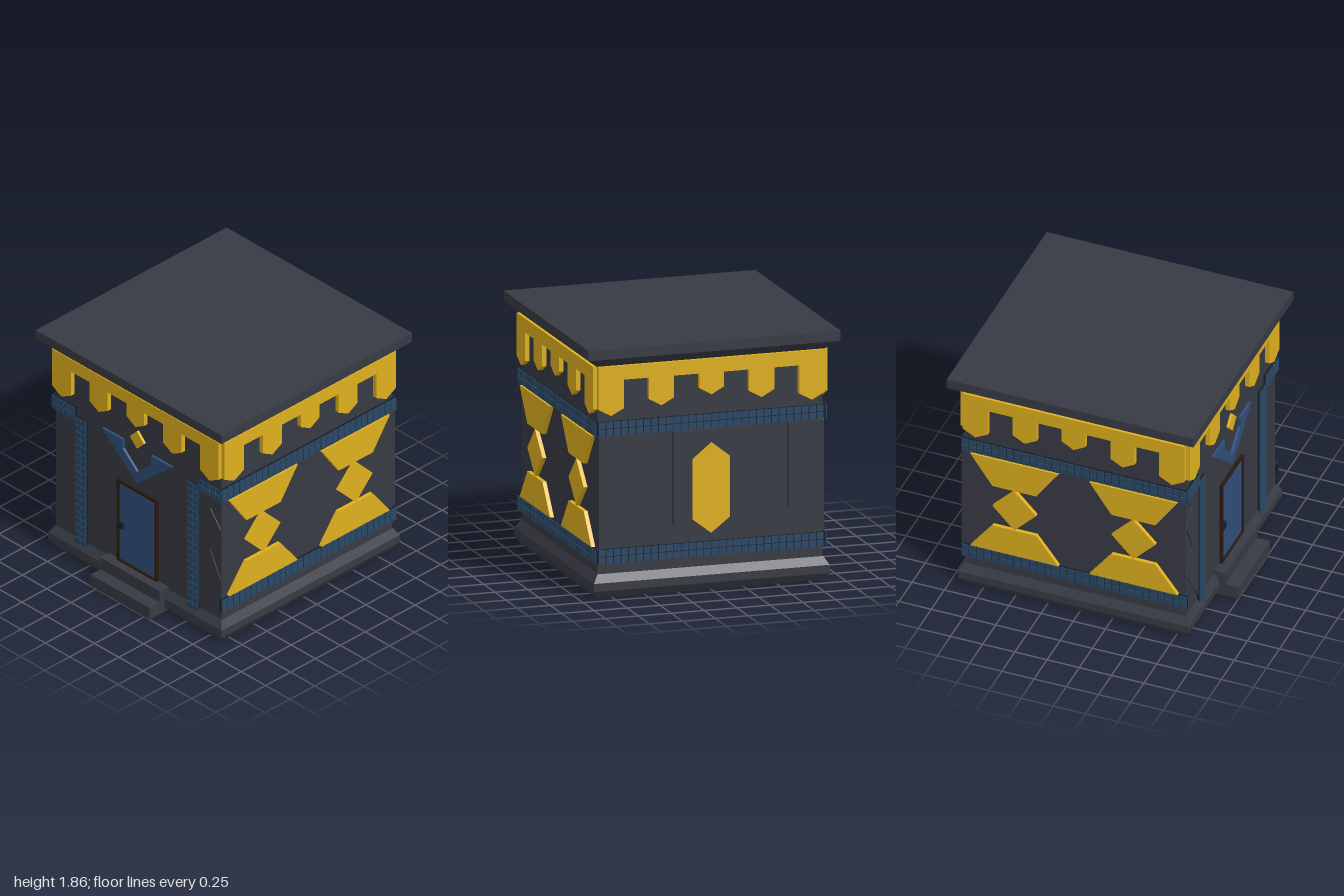
import * as THREE from 'three';
import { mergeGeometries } from 'three/addons/utils/BufferGeometryUtils.js';

const mat = (color) => new THREE.MeshStandardMaterial({ color, flatShading: true });
const stone = mat(0x383a44), gold = mat(0xdeb01e), tileBlue = mat(0x2a4764),
  grout = mat(0x14202c), doorBlue = mat(0x2f4d78), wood = mat(0x2a1a10);
const HALF = 0.855; // half width of the square body

function add(parent, name, geometry, material, x = 0, y = 0, z = 0) {
  const mesh = new THREE.Mesh(geometry, material);
  mesh.name = name;
  mesh.position.set(x, y, z);
  parent.add(mesh);
  return mesh;
}

const box = (w, h, d) => new THREE.BoxGeometry(w, h, d);
const shapeOf = (pts) => new THREE.Shape(pts.map(([x, y]) => new THREE.Vector2(x, y)));
const mirrorX = (pts) => pts.map(([x, y]) => [-x, y]);

// Flat plate standing out from a wall (local +z points outwards)
function plate(parent, name, pts, depth, material, hole) {
  const shape = shapeOf(pts);
  if (hole) shape.holes.push(new THREE.Path(hole.map(([x, y]) => new THREE.Vector2(x, y))));
  const geo = new THREE.ExtrudeGeometry(shape, { depth: depth + 0.005, bevelEnabled: false });
  return add(parent, name, geo, material, 0, 0, HALF - 0.005);
}

// Square stacked profile: [half width, height] from bottom to top
function squareLathe(profile) {
  const pts = profile.map(([r, y]) => new THREE.Vector2(r * Math.SQRT2, y));
  return new THREE.LatheGeometry(pts, 4, Math.PI / 4);
}

// Strip of small square tiles on a dark backing
function tileStrip(parent, name, x0, x1, y0, y1, cols, rows) {
  const strip = new THREE.Group();
  strip.name = name;
  parent.add(strip);
  const w = x1 - x0, h = y1 - y0, pw = w / cols, ph = h / rows, tiles = [];
  for (let i = 0; i < cols; i++) {
    for (let j = 0; j < rows; j++) {
      tiles.push(box(pw - 0.007, ph - 0.007, 0.026)
        .translate(x0 + (i + 0.5) * pw, y0 + (j + 0.5) * ph, HALF + 0.012));
    }
  }
  add(strip, 'tiles', mergeGeometries(tiles), tileBlue);
  add(strip, 'grout', box(w - 0.004, h - 0.004, 0.018), grout, x0 + w / 2, y0 + h / 2, HALF + 0.008);
}

// Hanging gold trim with five pointed teeth, longest at the corners
function trimOutline() {
  const pts = [[-0.86, 1.715]];
  const teeth = [[-0.86, -0.665, 1.4], [-0.475, -0.285, 1.45], [-0.092, 0.092, 1.5],
    [0.285, 0.475, 1.45], [0.665, 0.86, 1.4]];
  for (const [a, b, y] of teeth) {
    if (a > -0.86) pts.push([a, 1.61]);
    pts.push([a, y], [(a + b) / 2, y - 0.052], [b, y]);
    if (b < 0.86) pts.push([b, 1.61]);
  }
  pts.push([0.86, 1.715]);
  return pts;
}

function buildFront(wall) {
  for (const s of [-1, 1]) {
    const side = s < 0 ? 'right' : 'left';
    tileStrip(wall, side + 'TileColumn', s * 0.5775 - 0.0575, s * 0.5775 + 0.0575, 0.145, 1.23, 2, 19);
    tileStrip(wall, side + 'TileStub', s * 0.755 - 0.12, s * 0.755 + 0.12, 1.195, 1.305, 4, 2);
    // Thin panel with a zigzag outer edge
    const zigzag = [[0.6, 0.215], [0.635, 0.215], [0.85, 0.518], [0.744, 0.728], [0.85, 0.95],
      [0.744, 1.087], [0.85, 1.19], [0.6, 1.19]];
    plate(wall, side + 'ZigzagPanel', s > 0 ? zigzag : mirrorX(zigzag), 0.01, stone);
  }
  plate(wall, 'chevron', [[-0.36, 1.262], [0, 0.952], [0.36, 1.262], [0.145, 1.262], [0.145, 1.185],
    [0, 1.052], [-0.145, 1.185], [-0.145, 1.262]], 0.02, doorBlue);
  plate(wall, 'frontDiamond', [[0, 1.253], [0.074, 1.328], [0, 1.403], [-0.074, 1.328]], 0.02, gold);

  // Door with frame, hinge side bevel and latch
  const rect = (w, y0, y1) => [[-w, y0], [w, y0], [w, y1], [-w, y1]];
  plate(wall, 'doorFrame', rect(0.207, 0.2, 0.896), 0.022, wood, rect(0.187, 0.215, 0.875));
  plate(wall, 'door', rect(0.188, 0.213, 0.877), 0.008, doorBlue);
  plate(wall, 'doorBevel', [[0.12, 0.285], [0.186, 0.216], [0.186, 0.874], [0.12, 0.805]], 0.014, doorBlue);
  add(wall, 'doorLatch', box(0.055, 0.05, 0.03), grout, -0.165, 0.515, HALF + 0.014);
}

function buildBack(wall) {
  for (const s of [-1, 1]) {
    const corner = [[0.855, 0.37], [0.855, 1.19], [0.585, 1.19], [0.585, 0.56]];
    plate(wall, 'cornerPanel', s > 0 ? corner : mirrorX(corner), 0.03, stone);
  }
  const hexagon = [[0, 0.42], [0.143, 0.53], [0.143, 0.98], [0, 1.095], [-0.143, 0.98], [-0.143, 0.53]];
  plate(wall, 'windowFrame', [[-0.15, 0.37], [0.15, 0.37], [0.29, 0.5], [0.29, 1.19], [-0.29, 1.19],
    [-0.29, 0.5]], 0.03, stone, hexagon);
  plate(wall, 'window', hexagon, 0.024, gold);
}

function buildSide(wall) {
  for (const c of [-0.462, 0.462]) {
    const at = (pts) => pts.map(([x, y]) => [x + c, y]);
    plate(wall, 'upperTrapezoid', at([[-0.17, 0.945], [0.17, 0.945], [0.342, 1.19], [-0.342, 1.19]]), 0.03, gold);
    plate(wall, 'lowerTrapezoid', at([[-0.342, 0.367], [0.342, 0.367], [0.17, 0.592], [-0.17, 0.592]]), 0.03, gold);
    plate(wall, 'sideDiamond', at([[0, 0.594], [0.17, 0.769], [0, 0.944], [-0.17, 0.769]]), 0.03, gold);
  }
}

export function createModel() {
  const model = new THREE.Group();
  model.name = 'building';
  const house = new THREE.Group();
  house.name = 'house';
  house.position.z = -0.042;
  model.add(house);

  add(house, 'walls', box(HALF * 2, 1.6, HALF * 2), stone, 0, 0.92, 0);
  add(house, 'base', squareLathe([[0, 0], [0.86, 0], [0.895, 0.055], [0.895, 0.115], [0.858, 0.175], [0, 0.175]]), stone);
  add(house, 'roof', squareLathe([[0, 1.715], [0.865, 1.715], [0.957, 1.785], [0.957, 1.86], [0, 1.86]]), stone);

  // Four walls, each decorated in its own turned group
  ['front', 'left', 'back', 'right'].forEach((name, i) => {
    const wall = new THREE.Group();
    wall.name = name + 'Wall';
    wall.rotation.y = i * Math.PI / 2;
    house.add(wall);
    plate(wall, 'toothedTrim', trimOutline(), 0.035, gold);
    if (i === 0) return buildFront(wall);
    const half = i === 2 ? HALF : 0.877;
    tileStrip(wall, 'upperTileBand', -half, half, 1.195, 1.305, 30, 2);
    tileStrip(wall, 'lowerTileBand', -half, half, 0.25, 0.36, 30, 2);
    if (i === 2) buildBack(wall);
    else buildSide(wall);
  });

  // Front steps
  add(model, 'lowerStep', box(0.61, 0.1, 0.25), stone, 0, 0.05, 0.875);
  add(model, 'upperStep', box(0.61, 0.1, 0.15), stone, 0, 0.15, 0.825);
  return model;
}
